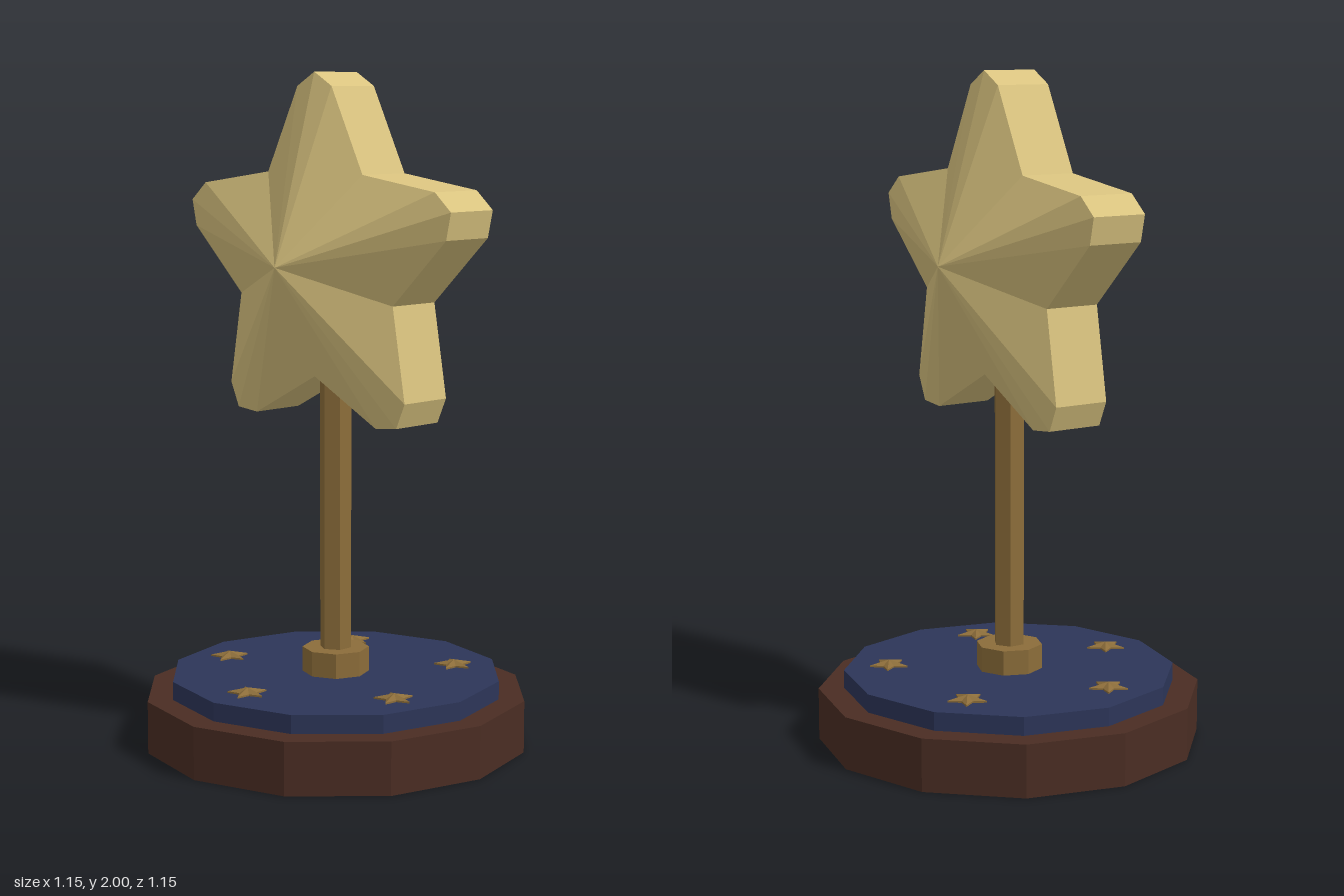
import * as THREE from 'three';

const material = (name, color) => {
  const m = new THREE.MeshStandardMaterial({ color, flatShading: true });
  m.name = name;
  return m;
};

// Star outline, anticlockwise from +x. A blunt tip adds a shoulder on either side of each point.
function starOutline(outer, inner, turn, shoulder) {
  const points = [];
  const add = (r, a) => points.push([r * Math.cos(a), r * Math.sin(a)]);
  for (let i = 0; i < 5; i++) {
    const a = turn + (i * Math.PI * 2) / 5;
    if (shoulder) add(shoulder.radius, a - shoulder.angle);
    add(outer, a);
    if (shoulder) add(shoulder.radius, a + shoulder.angle);
    add(inner, a + Math.PI / 5);
  }
  return points;
}

// Faceted star facing +z: a straight rim from back to front, with a peak on each face
function starGeometry(outline, back, front, backPeak, frontPeak) {
  const v = [];
  outline.forEach(([x, y], i) => {
    const [u, w] = outline[(i + 1) % outline.length];
    v.push(0, 0, frontPeak, x, y, front, u, w, front);
    v.push(0, 0, backPeak, u, w, back, x, y, back);
    v.push(x, y, back, u, w, back, u, w, front);
    v.push(x, y, back, u, w, front, x, y, front);
  });
  const g = new THREE.BufferGeometry();
  g.setAttribute('position', new THREE.Float32BufferAttribute(v, 3));
  g.computeVertexNormals();
  return g;
}

export function createModel() {
  const model = new THREE.Group();
  model.name = 'starTrophy';
  const gold = material('paleGold', 0xd9c37f);
  const bronze = material('bronze', 0x8c6d3a);
  const navy = material('navy', 0x2c3558);
  const wood = material('darkWood', 0x4a2d23);

  const addMesh = (name, geometry, mat) => {
    const mesh = new THREE.Mesh(geometry, mat);
    mesh.name = name;
    model.add(mesh);
    return mesh;
  };
  const addDisc = (name, radius, y0, y1, sides, mat) => {
    const g = new THREE.CylinderGeometry(radius, radius, y1 - y0, sides);
    addMesh(name, g, mat).position.y = (y0 + y1) / 2;
  };

  // Stepped base, collar and pole
  addDisc('base', 0.577, 0, 0.157, 12, wood);
  addDisc('basePlate', 0.5, 0.157, 0.212, 12, navy);
  addDisc('collar', 0.1, 0.212, 0.287, 8, bronze);
  addDisc('pole', 0.048, 0.287, 1.2, 6, bronze);

  // Large blunt-tipped star
  const bigOutline = starOutline(0.556, 0.328, Math.PI / 2, { radius: 0.52, angle: 0.134 });
  const star = addMesh('star', starGeometry(bigOutline, -0.088, 0.088, -0.25, 0.25), gold);
  star.position.y = 1.444;

  // Ring of small stars lying on the plate
  const smallGeometry = starGeometry(starOutline(0.06, 0.027, 0, null), 0, 0.006, 0, 0.02);
  smallGeometry.rotateX(-Math.PI / 2);
  for (let i = 0; i < 5; i++) {
    const a = (i * Math.PI * 2) / 5;
    const small = addMesh('smallStar', smallGeometry, bronze);
    small.position.set(0.365 * Math.sin(a), 0.211, 0.365 * Math.cos(a));
  }
  return model;
}
